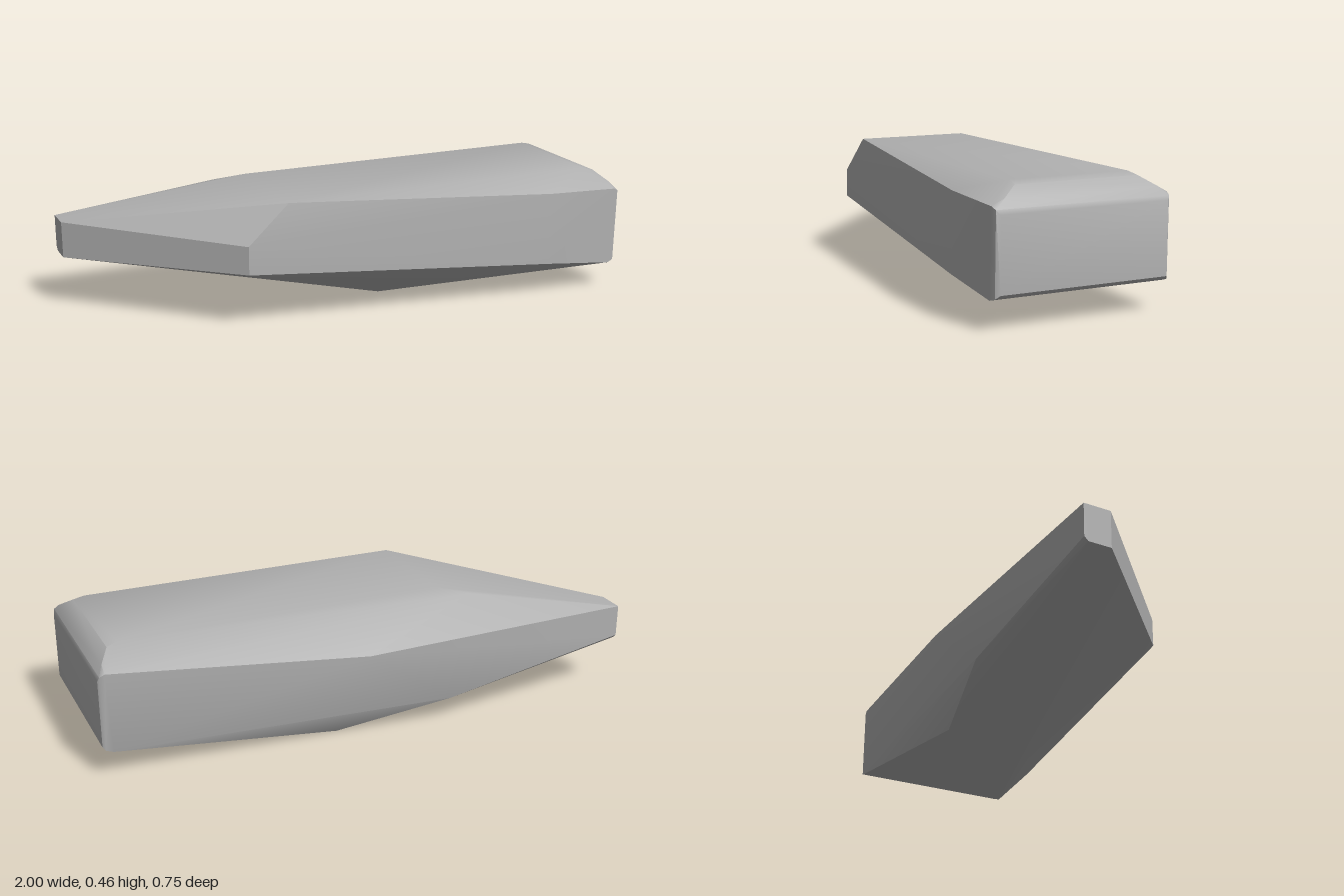
import * as THREE from 'three';
import { ConvexGeometry } from 'three/addons/geometries/ConvexGeometry.js';
import { toCreasedNormals } from 'three/addons/utils/BufferGeometryUtils.js';

const p = (x, y, z) => new THREE.Vector3(x, y, z);

export function createModel() {
  const group = new THREE.Group();
  group.name = 'rock';
  const stone = new THREE.MeshStandardMaterial({ color: 0xb0b0b0 });
  stone.name = 'stone grey';

  const corners = [
    // flat top
    p(-0.31, 0.46, 0.24), p(0.9, 0.46, 0.27), p(0.9, 0.46, -0.17), p(-0.31, 0.46, -0.19),
    // shoulder sloping down to the tip
    p(-0.42, 0.438, -0.24),
    // narrow tip
    p(-1, 0.335, -0.37), p(-1, 0.335, -0.27), p(-1, 0.2, -0.27), p(-1, 0.2, -0.355), p(-1, 0.215, -0.37),
    // front corner and front wall
    p(-0.465, 0.32, 0.245), p(-0.465, 0.215, 0.245),
    p(0.7, 0.405, 0.367), p(0.7, 0.13, 0.37),
    // back wall
    p(0.05, 0.33, -0.38), p(-0.28, 0.095, -0.375),
    // keel underneath
    p(0.135, 0, -0.275), p(0.2, 0, -0.2), p(0.2, 0, 0.05), p(0.13, 0.003, 0.06),
  ];

  // blunt end with a rounded rim: each ring is x, bottom, top, back, front
  const rings = [
    [0.94, 0.102, 0.45, -0.18, 0.275],
    [0.975, 0.1, 0.415, -0.235, 0.33],
  ];
  for (const [x, , top, back, front] of rings) corners.push(p(x, top, back), p(x, top, front));
  for (const z of [-0.272, 0.375]) {
    corners.push(p(0.975, 0.395, z), p(0.965, 0.1, z));
    const inner = z > 0 ? z - 0.02 : z + 0.01;
    corners.push(p(0.994, 0.385, z * 0.985), p(0.99, 0.108, z * 0.985));
    corners.push(p(1, 0.37, inner), p(1, 0.12, inner));
  }

  const body = new THREE.Mesh(toCreasedNormals(new ConvexGeometry(corners), 0.6), stone);
  body.name = 'rockBody';
  group.add(body);
  return group;
}
